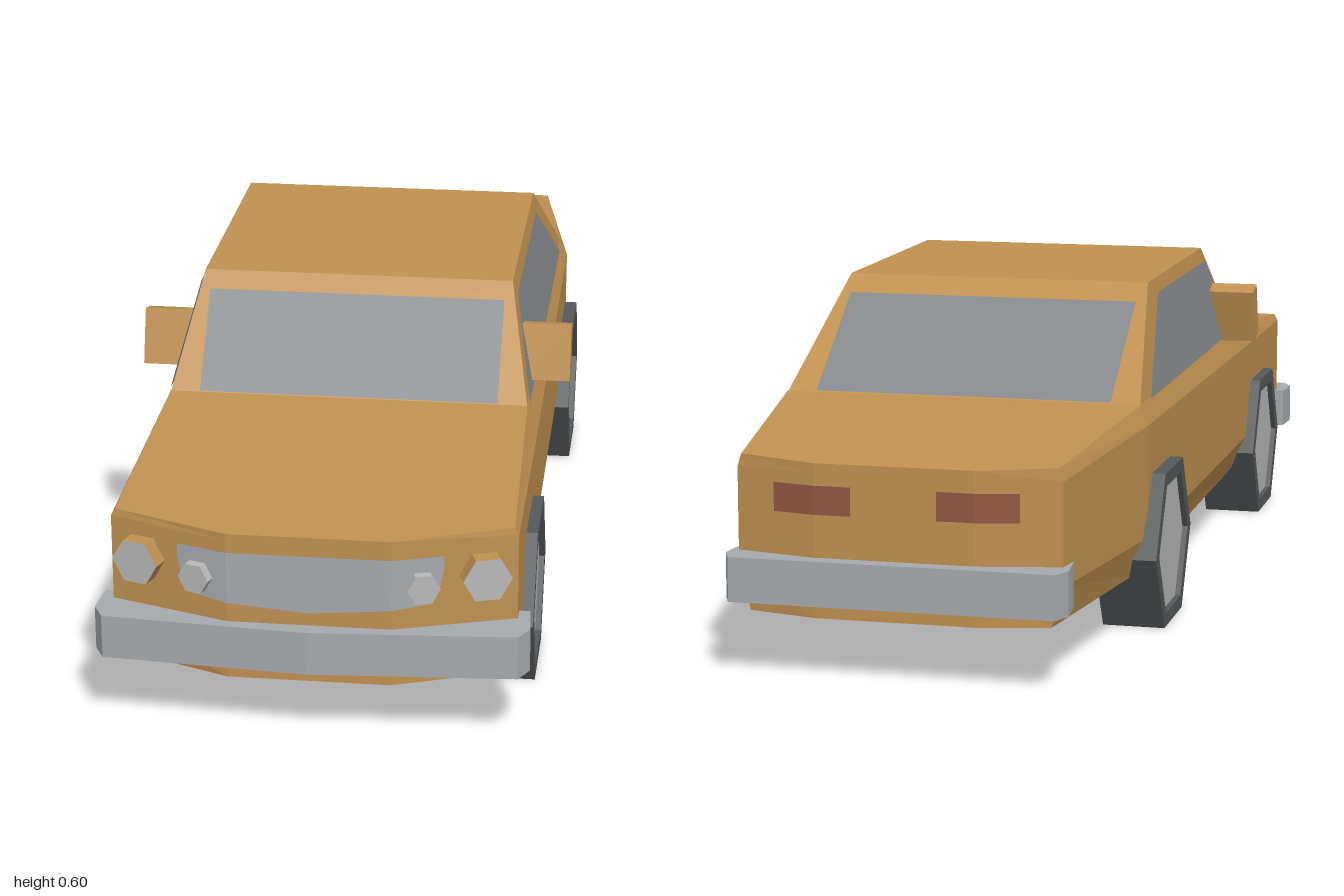
import * as THREE from 'three';

const mat = (color, side = THREE.FrontSide) =>
  new THREE.MeshStandardMaterial({ color, side, flatShading: true });
const paint = mat(0xc09050);
const glass = mat(0x84888a, THREE.DoubleSide);
const chrome = mat(0xa6aaad, THREE.DoubleSide);
const lampGrey = mat(0xb8b8b8);
const rubber = mat(0x55595b);
const hubGrey = mat(0xb8b8b8);
const red = mat(0x94583f, THREE.DoubleSide);

// Skin between rows of points; closed joins each row into a ring
function skin(rows, { closed = false, capStart = false, capEnd = false } = {}) {
  const pos = [];
  const tri = (a, b, c) => pos.push(...a, ...b, ...c);
  const n = rows[0].length;
  for (let i = 0; i < rows.length - 1; i++) {
    for (let j = 0; j < (closed ? n : n - 1); j++) {
      const k = (j + 1) % n;
      tri(rows[i][j], rows[i][k], rows[i + 1][k]);
      tri(rows[i][j], rows[i + 1][k], rows[i + 1][j]);
    }
  }
  const first = rows[0], last = rows[rows.length - 1];
  for (let j = 1; j < n - 1; j++) {
    if (capStart) tri(first[0], first[j + 1], first[j]);
    if (capEnd) tri(last[0], last[j], last[j + 1]);
  }
  const g = new THREE.BufferGeometry();
  g.setAttribute('position', new THREE.Float32BufferAttribute(pos, 3));
  g.computeVertexNormals();
  return g;
}

const extrude = (pts, depth) => new THREE.ExtrudeGeometry(
  new THREE.Shape(pts.map(p => new THREE.Vector2(...p))), { depth, bevelEnabled: false });

// Depth of the angled front and rear faces at a given x
const noseZ = x => 0.97 - 0.34 * Math.max(0, Math.abs(x) - 0.14);
const tailZ = x => -0.97 + 0.214 * Math.max(0, Math.abs(x) - 0.14);

export function createModel() {
  const car = new THREE.Group();
  car.name = 'car';
  const add = (name, geometry, material) => {
    const m = new THREE.Mesh(geometry, material);
    m.name = name;
    car.add(m);
    return m;
  };

  // Lower body: z, bottom half width, side half width, shoulder y, deck half width, deck y
  const sections = [
    [-0.97, 0.14, 0.14, 0.355, 0.14, 0.373],
    [-0.94, 0.265, 0.285, 0.355, 0.278, 0.378],
    [-0.53, 0.32, 0.345, 0.38, 0.33, 0.415],
    [0.44, 0.32, 0.35, 0.37, 0.33, 0.415],
    [0.9, 0.32, 0.35, 0.365, 0.343, 0.378],
    [0.97, 0.14, 0.14, 0.36, 0.14, 0.372],
  ];
  const rings = sections.map(([z, xb, xm, ys, xt, yt]) => {
    const right = [[xb, 0.105, z], [xm, 0.175, z], [xm, ys, z], [xt, yt, z]];
    return [...right, ...right.map(([x, y]) => [-x, y, z]).reverse()];
  });
  add('body', skin(rings, { closed: true, capStart: true, capEnd: true }), paint);

  // Cabin: base ring up to roof ring
  const ring = (x, y, front, rear) => [[x, y, front], [x, y, rear], [-x, y, rear], [-x, y, front]];
  add('cabin', skin([ring(0.33, 0.412, 0.44, -0.53), ring(0.288, 0.6, 0.28, -0.26)],
    { closed: true, capEnd: true }), paint);

  // Windows, lying just outside the sloping cabin walls
  const up = y => (y - 0.412) / 0.188;
  const pane = (y, z) => [[-0.275, y, z], [0.275, y, z]];
  const frontZ = y => 0.445 - 0.16 * up(y);
  const rearZ = y => -0.535 + 0.27 * up(y);
  add('windshield', skin([0.418, 0.572].map(y => pane(y, frontZ(y)))), glass);
  add('rearWindow', skin([0.57, 0.418].map(y => pane(y, rearZ(y)))), glass);
  for (const s of [1, -1]) {
    const wallX = y => s * (0.334 - 0.042 * up(y));
    const row = (y, z0, z1) => [[wallX(y), y, z0], [wallX(y), y, z1]];
    const rows = [row(0.414, 0.42, -0.45), row(0.575, 0.275, -0.21)];
    if (s < 0) rows.forEach(r => r.reverse());
    add(s > 0 ? 'leftSideWindow' : 'rightSideWindow', skin(rows), glass);
  }

  // Grille wrapping round the nose
  const halfGrille = [[0.14, 0.247], [0.21, 0.254], [0.222, 0.285], [0.228, 0.32]];
  const cols = [...halfGrille.map(([x, y]) => [-x, y]).reverse(), [0, 0.235], ...halfGrille];
  add('grille', skin([
    cols.map(([x, y]) => [x, y, noseZ(x) + 0.006]),
    cols.map(([x]) => [x, 0.34, noseZ(x) + 0.006]),
  ]), chrome);

  // Six-sided lamps, turned to the angled nose faces
  const lamp = (name, x, y, r, depth, sideMat) => {
    const g = new THREE.CylinderGeometry(r, r, depth, 6);
    g.rotateY(Math.PI / 2).rotateX(Math.PI / 2).rotateY(Math.sign(x) * 0.33);
    add(name, g, [sideMat, lampGrey, lampGrey]).position.set(x, y, noseZ(x) + 0.008);
  };
  for (const s of [1, -1]) {
    lamp('headlight', s * 0.295, 0.3, 0.043, 0.045, paint);
    lamp('fogLight', s * 0.192, 0.288, 0.029, 0.03, lampGrey);
    // Tail lights bend with the rear face
    const xs = [0.075, 0.14, 0.215].map(x => x * s);
    if (s > 0) xs.reverse();
    add('tailLight', skin([0.285, 0.335].map(y => xs.map(x => [x, y, tailZ(x) - 0.004]))), red);
  }

  // Bumpers from mirrored half outlines in plan
  const bumper = (name, half) => {
    const pts = [...half, ...half.map(([x, z]) => [-x, z]).reverse()].map(([x, z]) => [x, -z]);
    const g = extrude(pts, 0.078).rotateX(-Math.PI / 2).translate(0, 0.132, 0);
    add(name, g, chrome);
  };
  bumper('frontBumper', [[0.001, 1], [0.357, 0.975], [0.375, 0.94], [0.37, 0.87],
    [0.335, 0.87], [0.33, 0.9], [0.14, 0.95], [0.001, 0.95]]);
  bumper('rearBumper', [[0.001, -1], [0.285, -1], [0.3, -0.965], [0.293, -0.895],
    [0.26, -0.895], [0.25, -0.94], [0.001, -0.95]]);

  // Leaning door mirrors
  const mirrorSide = [[-0.333, 0.426], [-0.285, 0.411], [-0.258, 0.514], [-0.302, 0.526]];
  for (const s of [1, -1]) {
    const g = extrude(mirrorSide, 0.092).rotateY(Math.PI / 2).translate(s > 0 ? 0.308 : -0.4, 0, 0);
    add('doorMirror', g, paint);
  }

  // Six-sided wheels with a sunken hub
  const tyreProfile = [[0, 0], [0.165, 0], [0.165, 0.114], [0.136, 0.114], [0.136, 0.1]]
    .map(p => new THREE.Vector2(...p));
  for (const s of [1, -1]) {
    for (const z of [0.63, -0.41]) {
      const wheel = new THREE.Group();
      wheel.name = z > 0 ? 'frontWheel' : 'rearWheel';
      const tyre = new THREE.Mesh(new THREE.LatheGeometry(tyreProfile, 6), rubber);
      tyre.name = 'tyre';
      const hub = new THREE.Mesh(new THREE.CylinderGeometry(0.136, 0.136, 0.02, 6), hubGrey);
      hub.name = 'hub';
      hub.position.y = 0.094;
      wheel.add(tyre, hub);
      wheel.rotation.z = -s * Math.PI / 2;
      wheel.position.set(s * 0.256, 0.143, z);
      car.add(wheel);
    }
  }
  return car;
}
